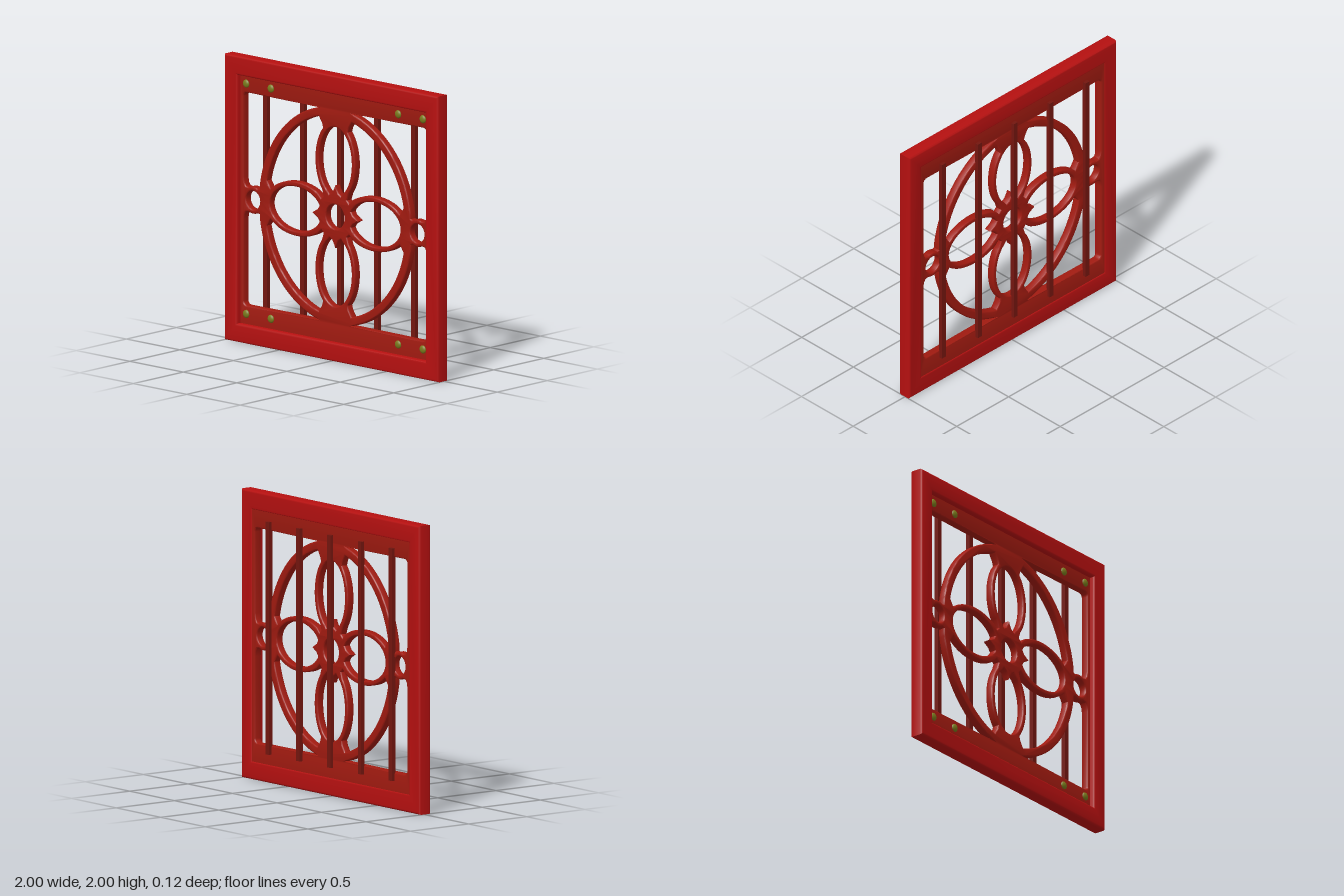
import * as THREE from 'three';
import { toCreasedNormals } from 'three/addons/utils/BufferGeometryUtils.js';

const mat = (color) => new THREE.MeshStandardMaterial({ color });
const red = mat(0xb51010), latticeRed = mat(0xa01a10), barRed = mat(0x74160f), olive = mat(0x7a7a1c);

// Points along an ellipse arc, angles in degrees
function arc(cx, cy, rx, ry, a0, a1, n = 20) {
  return Array.from({ length: n + 1 }, (_, i) => {
    const t = THREE.MathUtils.degToRad(a0 + ((a1 - a0) * i) / n);
    return [cx + rx * Math.cos(t), cy + ry * Math.sin(t)];
  });
}
const flip = (pts, sx, sy) => pts.map(([x, y]) => [x * sx, y * sy]);
const vecs = (pts) => pts.map(([x, y]) => new THREE.Vector2(x, y));
const rect = (x, y0, y1) => [[-x, y0], [x, y0], [x, y1], [-x, y1]];

// Extruded plate between two depths, with rounded edges that stay inside the outline
function plate(outline, holes, z0, z1, bevel) {
  const shape = new THREE.Shape(vecs(outline));
  holes.forEach((h) => shape.holes.push(new THREE.Path(vecs(h))));
  const geo = new THREE.ExtrudeGeometry(shape, {
    depth: z1 - z0 - 2 * bevel, bevelThickness: bevel, bevelSize: bevel,
    bevelOffset: -bevel, bevelSegments: 3, steps: 1,
  });
  geo.translate(0, 0, z0 + bevel);
  return toCreasedNormals(geo, 0.7);
}

// All openings of the tracery, drawn around (0, 0)
function traceryHoles() {
  const holes = [arc(0, 0, 0.085, 0.085, 0, 350, 35)];

  // Corner opening between the square panel and the big ring
  const corner = [
    ...arc(0.825, 0.715, 0.03, 0.03, 90, 0, 5),
    [0.855, 0.15], [0.848, 0.11], [0.835, 0.09],
    ...arc(0.768, 0, 0.095, 0.095, 65, 118, 8),
    [0.707, 0.09],
    ...arc(0, 0, 0.715, 0.76, 9, 76, 30),
    [0.15, 0.743],
  ];
  // Opening inside the ring, between two petals and the hub
  const inner = [
    ...arc(0, 0, 0.655, 0.7, 13, 76.5, 28),
    [0.145, 0.668], [0.125, 0.637],
    ...arc(0, 0.385, 0.187, 0.28, 52, -48, 22),
    ...arc(0, 0, 0.17, 0.17, 50, 40, 3),
    ...arc(0.36, 0, 0.295, 0.19, 132, 34, 22),
    [0.62, 0.13],
  ];
  // Petals end at the hub, where a thorn points into each one
  const upPetal = [
    ...arc(0, 0.385, 0.153, 0.242, -62, 242, 48),
    [-0.055, 0.15], [-0.03, 0.165], [-0.012, 0.195], [0, 0.22],
    [0.012, 0.195], [0.03, 0.165], [0.055, 0.15],
  ];
  const sidePetal = [
    ...arc(0.37, 0, 0.24, 0.155, -152, 152, 48),
    [0.148, 0.055], [0.165, 0.03], [0.195, 0.012], [0.215, 0],
    [0.195, -0.012], [0.165, -0.03], [0.148, -0.055],
  ];
  for (const s of [1, -1]) {
    holes.push(flip(upPetal, 1, s), flip(sidePetal, s, 1));
    holes.push(arc(0.768 * s, 0, 0.065, 0.065, 0, 348, 29));
    for (const t of [1, -1]) holes.push(flip(corner, s, t), flip(inner, s, t));
  }
  return holes;
}

export function createModel() {
  const group = new THREE.Group();
  const add = (name, geo, material, x = 0, y = 0, z = 0, parent = group) => {
    const m = new THREE.Mesh(geo, material);
    m.name = name;
    m.position.set(x, y, z);
    parent.add(m);
    return m;
  };

  // Outer square frame
  add('frame', plate(rect(1, 0, 2), [rect(0.88, 0.13, 1.867)], -0.042, 0.058, 0.016), red);

  // Recessed pierced panel with ring, petals and hub
  add('traceryPanel', plate(rect(0.9, -0.89, 0.89), traceryHoles(), -0.037, 0.02, 0.01), latticeRed, 0, 1.003);

  // Vertical bars fixed to the back
  const bars = new THREE.Group();
  bars.name = 'backBars';
  group.add(bars);
  const barGeo = new THREE.BoxGeometry(0.038, 1.61, 0.03);
  for (let i = -2; i <= 2; i++) add('bar', barGeo, barRed, -0.007 + i * 0.346, 1.005, -0.045, bars);

  // Domed rivets on the top and bottom rails
  const rivets = new THREE.Group();
  rivets.name = 'rivets';
  group.add(rivets);
  const rivetGeo = new THREE.SphereGeometry(0.029, 16, 6, 0, Math.PI * 2, 0, Math.PI / 2);
  rivetGeo.rotateX(Math.PI / 2).scale(1, 1, 0.55);
  for (const y of [0.2, 1.81])
    for (const x of [-0.828, -0.597, 0.593, 0.824]) add('rivet', rivetGeo, olive, x, y, 0.019, rivets);

  return group;
}
